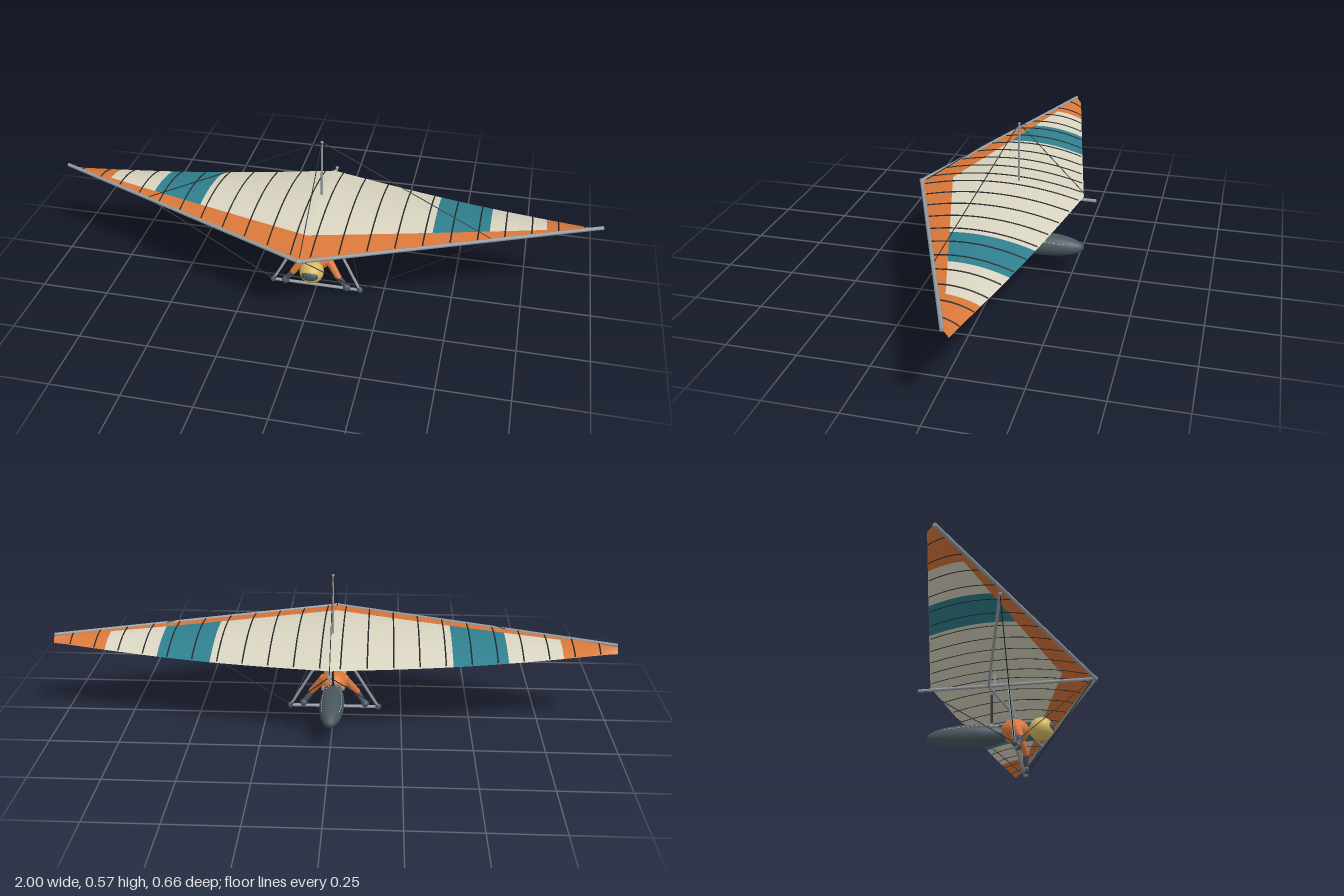
import * as THREE from 'three';

const mat = (name, color, side = THREE.FrontSide) => {
  const m = new THREE.MeshStandardMaterial({ color, side });
  m.name = name;
  return m;
};

export function createModel() {
  const cream = mat('cream sailcloth', 0xd9d4c0, THREE.DoubleSide);
  const orange = mat('orange cloth', 0xd9773a, THREE.DoubleSide);
  const teal = mat('teal sailcloth', 0x2f7f8e, THREE.DoubleSide);
  const metal = mat('aluminium', 0x959c9f);
  const dark = mat('slate fabric', 0x4a565f);
  const black = mat('black cable', 0x25292c);
  const yellow = mat('yellow helmet', 0xd6bb62);

  const model = new THREE.Group();
  model.name = 'hangGlider';
  const V = (x, y, z) => new THREE.Vector3(x, y, z);
  const add = (name, geo, material, parent = model) => {
    const mesh = new THREE.Mesh(geo, material);
    mesh.name = name;
    parent.add(mesh);
    return mesh;
  };
  const group = (name) => {
    const g = new THREE.Group();
    g.name = name;
    model.add(g);
    return g;
  };
  // Straight round bar between two points, optionally tapered
  const rod = (name, a, b, r, material, parent = model, r2 = r, sides = 10) => {
    const mesh = add(name, new THREE.CylinderGeometry(r2, r, a.distanceTo(b), sides), material, parent);
    mesh.position.copy(a).lerp(b, 0.5);
    mesh.quaternion.setFromUnitVectors(V(0, 1, 0), b.clone().sub(a).normalize());
    return mesh;
  };
  const ball = (name, p, s, material, parent = model) => {
    const mesh = add(name, new THREE.SphereGeometry(1, 32, 20), material, parent);
    mesh.position.copy(p);
    mesh.scale.copy(s);
    return mesh;
  };

  // Cambered sail: x across the span, u from leading (0) to trailing edge (1)
  const lead = (x) => V(x, 0.311 + 0.023 * Math.abs(x), 0.32 - 0.394 * Math.abs(x));
  const sailPoint = (x, u) => {
    const s = Math.abs(x);
    const front = lead(x);
    const back = V(x, 0.312 - 0.014 * Math.sin(Math.PI * Math.min(s, 0.95)), -0.285 + 0.193 * s);
    const chord = front.z - back.z;
    const p = front.lerp(back, u);
    p.y += 0.068 * chord * 4 * u * (1 - u);
    return p;
  };
  const sail = group('sail');
  const panel = (name, x0, x1, u0, u1, material) => {
    const geo = new THREE.PlaneGeometry(1, 1, 8, 16);
    const pos = geo.attributes.position;
    for (let i = 0; i < pos.count; i++) {
      const x = THREE.MathUtils.lerp(x0, x1, pos.getX(i) + 0.5);
      const p = sailPoint(x, THREE.MathUtils.lerp(u0, u1, 0.5 - pos.getY(i)));
      pos.setXYZ(i, p.x, p.y, p.z);
    }
    // Plane rows run toward the back, so mirrored panels keep their winding upward
    geo.computeVertexNormals();
    add(name, geo, material, sail);
  };
  const frame = group('airframe');
  const battens = group('battens');
  const rigging = group('rigging');
  const controlFrame = group('controlFrame');
  const pilot = group('pilot');
  const cable = (name, a, b) => rod(name, a, b, 0.0016, black, rigging, 0.0016, 6);

  // Keel and king post
  const nose = V(0, 0.311, 0.31), tail = V(0, 0.302, -0.31), mast = V(0, 0.568, -0.048);
  rod('keel', V(0, 0.311, 0.325), V(0, 0.301, -0.33), 0.006, metal, frame);
  rod('kingPost', V(0, 0.302, -0.048), mast, 0.004, metal, frame);
  ball('mastCap', mast, V(0.005, 0.004, 0.005), metal, frame);
  ball('noseJoint', V(0, 0.311, 0.318), V(0.012, 0.008, 0.01), metal, frame);
  cable('upperNoseCable', mast, nose);
  cable('upperTailCable', mast, tail);

  for (const side of [1, -1]) {
    const ordered = (a, b) => (side > 0 ? [a, b] : [-b, -a]);
    // Sail panels in each half
    panel('leadingBand', ...ordered(0, 0.805), 0, 0.2, orange);
    panel('innerPanel', ...ordered(0, 0.42), 0.2, 1, cream);
    panel('stripePanel', ...ordered(0.42, 0.612), 0.2, 1, teal);
    panel('outerPanel', ...ordered(0.612, 0.805), 0.2, 1, cream);
    panel('tipPanel', ...ordered(0.805, 0.997), 0, 1, orange);

    // Battens follow the camber
    for (let i = 0; i < 11; i++) {
      const x = side * (0.035 + 0.09 * i);
      const pts = Array.from({ length: 9 }, (_, k) => sailPoint(x, 0.02 + 0.97 * k / 8).add(V(0, 0.001, 0)));
      add('batten', new THREE.TubeGeometry(new THREE.CatmullRomCurve3(pts), 20, 0.0025, 6), black, battens);
    }

    // Leading edge tube and crossbar
    rod('leadingEdge', lead(0), lead(side * 0.997), 0.0065, metal, frame);
    const joint = lead(side * 0.63).add(V(0, -0.01, -0.012));
    rod('crossbar', V(0, 0.304, -0.07), joint, 0.005, metal, frame);
    ball('crossbarJoint', joint, V(0.008, 0.006, 0.006), metal, frame);

    // A-frame upright with its corner
    const corner = V(side * 0.165, 0.012, 0.045);
    rod('upright', V(side * 0.008, 0.296, 0.004), corner, 0.005, metal, controlFrame);
    ball('cornerBracket', corner, V(0.011, 0.012, 0.011), dark, controlFrame);

    // Cables
    cable('upperSideCable', mast, lead(side * 0.63));
    cable('lowerSideCable', corner, joint);
    cable('lowerNoseCable', corner, nose);
    cable('lowerTailCable', corner, tail);

    // Arms gripping the base bar
    const shoulder = V(side * 0.038, 0.132, 0.032);
    const elbow = V(side * 0.085, 0.068, 0.056);
    const hand = V(side * 0.116, 0.02, 0.05);
    ball('shoulder', shoulder, V(0.017, 0.017, 0.017), orange, pilot);
    rod('upperArm', shoulder, elbow, 0.016, orange, pilot, 0.012, 14);
    ball('elbow', elbow, V(0.012, 0.012, 0.012), orange, pilot);
    rod('forearm', elbow, hand, 0.011, dark, pilot, 0.009, 14);
    ball('glove', hand, V(0.014, 0.016, 0.014), dark, pilot);

    // Harness buckle and dashed zip
    add('buckle', new THREE.BoxGeometry(0.008, 0.012, 0.014), metal, pilot)
      .position.set(side * 0.037, 0.134, -0.053);
    for (let i = 0; i < 12; i++) {
      const z = -0.04 - 0.0163 * i;
      const r = 0.042 * Math.sqrt(1 - ((z + 0.138) / 0.154) ** 2);
      const y = 0.143 - 0.0013 * i - 0.11;
      const x = Math.sqrt(Math.max(r * r - y * y, 0.0001));
      add('zipTooth', new THREE.BoxGeometry(0.004, 0.002, 0.009), cream, pilot)
        .position.set(side * x, 0.11 + Math.min(y, r * 0.97), z);
    }
  }
  rod('baseBar', V(-0.165, 0.012, 0.045), V(0.165, 0.012, 0.045), 0.006, metal, controlFrame);

  // Pilot lying prone in the harness
  ball('harness', V(0, 0.11, -0.138), V(0.044, 0.042, 0.154), dark, pilot);
  ball('torso', V(0, 0.122, 0.027), V(0.05, 0.043, 0.052), orange, pilot);
  ball('helmet', V(0, 0.126, 0.121), V(0.044, 0.041, 0.044), yellow, pilot);
  ball('visor', V(0, 0.128, 0.15), V(0.031, 0.021, 0.017), dark, pilot);
  add('hangStrap', new THREE.BoxGeometry(0.007, 0.125, 0.008), black, pilot).position.set(0, 0.207, -0.057);

  return model;
}
